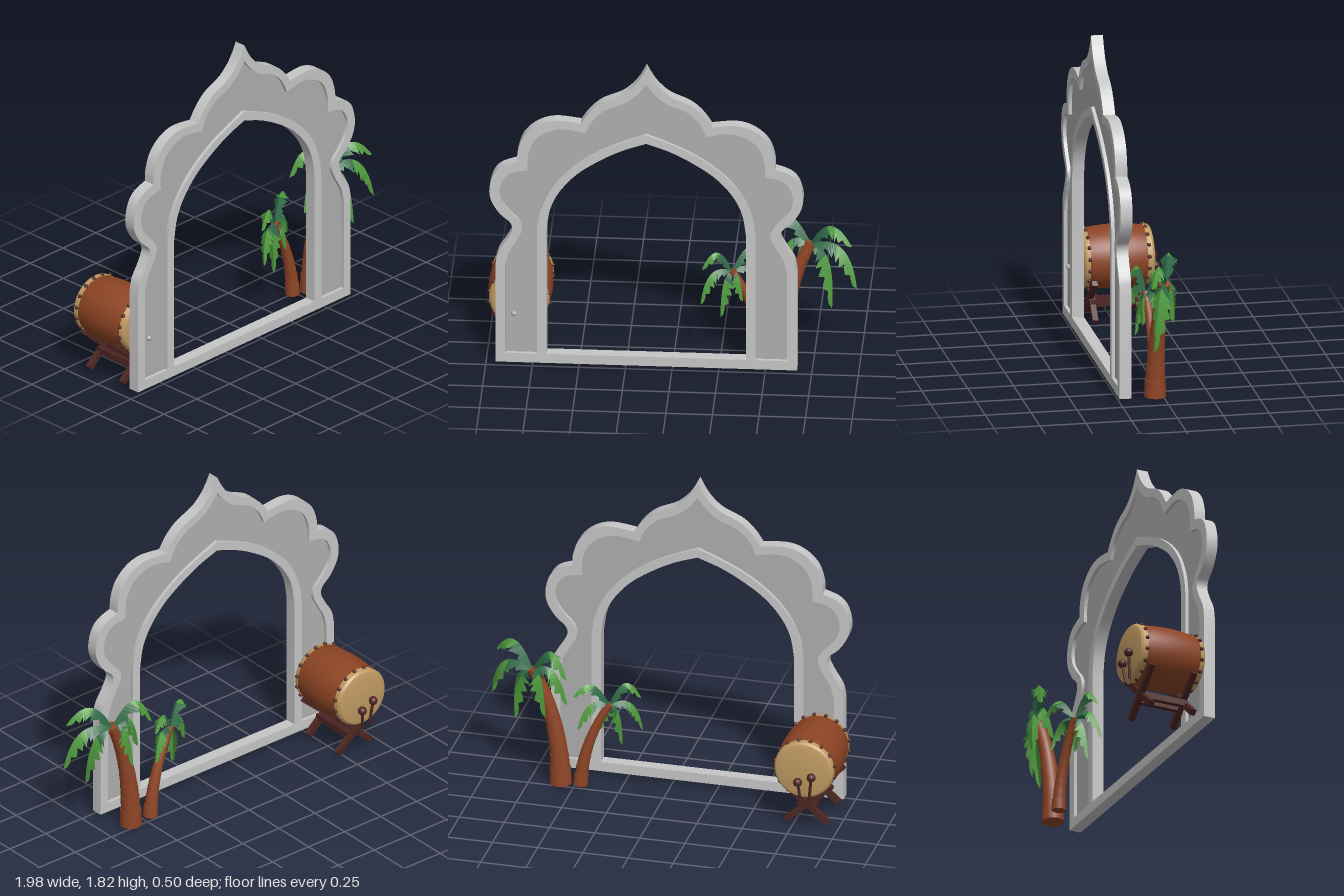
import * as THREE from 'three';
import { toCreasedNormals } from 'three/addons/utils/BufferGeometryUtils.js';

const V = (x, y, z) => new THREE.Vector3(x, y, z);
const mat = (name, color, side = THREE.FrontSide) => {
  const m = new THREE.MeshStandardMaterial({ color, side });
  m.name = name;
  return m;
};

const ARCH_X = -0.138;

export function createModel() {
  const stone = mat('light stone', 0xc6c6c6);
  const panelStone = mat('panel stone', 0xaeaeae);
  const drumWood = mat('drum wood', 0x8c4424);
  const hide = mat('drum hide', 0xc09a62);
  const darkWood = mat('dark wood', 0x4c2622);
  const bark = mat('palm bark', 0x904626);
  const lightLeaf = mat('light leaf', 0x4f9a3e, THREE.DoubleSide);
  const darkLeaf = mat('dark leaf', 0x2f6b47, THREE.DoubleSide);

  const model = new THREE.Group();
  const add = (parent, name, geo, material, p = [0, 0, 0]) => {
    const m = new THREE.Mesh(geo, material);
    m.name = name;
    m.position.set(...p);
    parent.add(m);
    return m;
  };
  const group = (name, x = 0, y = 0, z = 0) => {
    const g = new THREE.Group();
    g.name = name;
    g.position.set(x, y, z);
    model.add(g);
    return g;
  };
  // straight part between two points
  const between = (mesh, a, b) => {
    mesh.position.copy(a).add(b).multiplyScalar(0.5);
    mesh.quaternion.setFromUnitVectors(V(0, 1, 0), b.clone().sub(a).normalize());
    return mesh;
  };

  // ---- Arch: half contours as smooth runs that meet in cusps, mirrored ----
  const contour = (foot, runs) => {
    const half = [new THREE.Vector2(...foot)];
    for (const run of runs) half.push(...new THREE.SplineCurve(run.map(p => new THREE.Vector2(...p))).getPoints(run.length * 4));
    const clean = half.filter((p, i) => i === 0 || p.distanceTo(half[i - 1]) > 1e-4);
    const left = clean.slice(0, -1).reverse().map(p => new THREE.Vector2(-p.x, p.y));
    return [...clean, ...left];
  };
  const outer = contour([0.81, 0.02], [
    [[0.81, 0.6], [0.795, 0.68], [0.75, 0.755], [0.72, 0.82], [0.733, 0.865], [0.783, 0.91], [0.83, 0.985],
      [0.842, 1.06], [0.82, 1.148], [0.773, 1.2], [0.693, 1.23]],
    [[0.693, 1.23], [0.688, 1.3], [0.655, 1.388], [0.58, 1.457], [0.484, 1.486], [0.35, 1.473]],
    [[0.35, 1.473], [0.307, 1.537], [0.238, 1.6], [0.131, 1.65], [0.067, 1.705], [0.03, 1.757], [0, 1.815]]]);
  const recessOuter = contour([0.757, 0.075], [
    [[0.757, 0.6], [0.738, 0.678], [0.697, 0.753], [0.667, 0.82], [0.682, 0.875], [0.728, 0.925], [0.775, 0.99],
      [0.787, 1.06], [0.765, 1.125], [0.72, 1.163], [0.637, 1.18]],
    [[0.637, 1.18], [0.635, 1.27], [0.6, 1.36], [0.53, 1.415], [0.44, 1.436], [0.325, 1.415]],
    [[0.325, 1.415], [0.285, 1.495], [0.215, 1.56], [0.12, 1.6], [0.05, 1.655], [0, 1.72]]]);
  const recessInner = contour([0.586, 0.075], [
    [[0.586, 0.83], [0.564, 0.955], [0.495, 1.095], [0.388, 1.21], [0.254, 1.303], [0.12, 1.367], [0, 1.415]]]);
  const opening = contour([0.535, 0.075], [
    [[0.535, 0.83], [0.514, 0.955], [0.462, 1.062], [0.372, 1.165], [0.255, 1.248], [0.13, 1.315], [0, 1.362]]]);
  const recess = [...recessOuter, ...recessInner.slice().reverse()];
  const extrude = (shape, depth) => toCreasedNormals(
    new THREE.ExtrudeGeometry(shape, { depth, bevelEnabled: false }), 0.5);

  const arch = group('arch', ARCH_X);
  const frameShape = new THREE.Shape(outer);
  frameShape.holes.push(new THREE.Path(recess), new THREE.Path(opening));
  add(arch, 'archFrame', extrude(frameShape, 0.065), stone, [0, 0, 0.188]);
  add(arch, 'archPanel', extrude(new THREE.Shape(recess), 0.027), panelStone, [0, 0, 0.207]);
  add(arch, 'knob', new THREE.SphereGeometry(0.016, 16, 12), panelStone, [-0.71, 0.305, 0.235]);

  // ---- Drum: barrel lying along z ----
  const drum = group('drum', -0.826, 0.361, 0);
  const lathe = (name, pts, material) => {
    const geo = new THREE.LatheGeometry(pts.map(p => new THREE.Vector2(...p)), 48);
    add(drum, name, toCreasedNormals(geo, 0.6), material).rotation.x = Math.PI / 2;
  };
  const barrel = [];
  for (let i = 0; i <= 12; i++) {
    const t = i / 6 - 1;
    barrel.push([0.173 - 0.015 * t * t, -0.005 + 0.165 * t]);
  }
  lathe('drumBody', barrel, drumWood);
  lathe('backHead', [[0, -0.203], [0.135, -0.205], [0.153, -0.2], [0.163, -0.188], [0.165, -0.162], [0.158, -0.162]], hide);
  lathe('frontHead', [[0.157, 0.15], [0.163, 0.15], [0.16, 0.17], [0.15, 0.181], [0.135, 0.185], [0, 0.183]], hide);
  const studGeo = new THREE.SphereGeometry(0.011, 10, 8);
  for (const z of [-0.17, 0.155]) {
    for (let i = 0; i < 16; i++) {
      const a = (i + 0.5) / 16 * Math.PI * 2;
      add(drum, 'stud', studGeo, darkWood, [0.165 * Math.cos(a), 0.165 * Math.sin(a), z]);
    }
  }

  // ---- Drum stand: two crossed pairs of legs and rails ----
  const stand = group('drumStand', -0.826, 0, 0);
  for (const z of [0.122, -0.127]) {
    for (const s of [-1, 1]) {
      const a = V(-0.115 * s, 0.03, z + s * 0.004), b = V(0.14 * s, 0.255, z + s * 0.004);
      between(add(stand, 'standLeg', new THREE.BoxGeometry(0.032, a.distanceTo(b), 0.03), darkWood), a, b);
    }
  }
  for (const s of [-1, 1]) add(stand, 'standRail', new THREE.BoxGeometry(0.03, 0.035, 0.26), darkWood, [s * 0.035, 0.112, 0]);

  // ---- Mallets at the back of the drum ----
  const mallets = group('mallets');
  for (const [head, tail] of [
    [V(-0.877, 0.338, -0.228), V(-0.862, 0.195, -0.214)],
    [V(-0.802, 0.302, -0.228), V(-0.815, 0.185, -0.214)]]) {
    add(mallets, 'malletHead', new THREE.SphereGeometry(0.024, 16, 12), darkWood, head.toArray());
    between(add(mallets, 'malletHandle', new THREE.CylinderGeometry(0.008, 0.008, head.distanceTo(tail), 10), darkWood), head, tail);
  }

  // ---- Palm fronds: folded blades with saw-tooth edges ----
  const frond = (root, ctrl, tip, width) => {
    const curve = new THREE.QuadraticBezierCurve3(root, ctrl, tip);
    const side = tip.clone().sub(root).setY(0).normalize().cross(V(0, 1, 0));
    const N = 18, rows = [];
    for (let i = 0; i <= N; i++) {
      const t = i / N, c = curve.getPoint(t), dir = curve.getTangent(t);
      const up = side.clone().cross(dir).normalize();
      const tooth = i % 3 === 2 ? 1 : i % 3 === 1 ? 0.8 : 0.55;
      const w = width * Math.pow(Math.sin(Math.PI * Math.pow(t * 0.97 + 0.03, 0.8)), 0.7) * tooth;
      const edge = s => c.clone().addScaledVector(side, s * w * 0.65)
        .addScaledVector(up, -w * 0.85).addScaledVector(dir, w * 0.45);
      rows.push([edge(-1), c, edge(1)]);
    }
    const pos = [], geo = new THREE.BufferGeometry();
    for (let i = 0; i < N; i++) {
      for (const k of [0, 1]) {
        const [a, b, c, d] = [rows[i][k], rows[i][k + 1], rows[i + 1][k + 1], rows[i + 1][k]];
        for (const p of [a, b, c, a, c, d]) pos.push(p.x, p.y, p.z);
      }
    }
    geo.setAttribute('position', new THREE.Float32BufferAttribute(pos, 3));
    geo.computeVertexNormals();
    geo.addGroup(0, 7 * 12, 0);
    geo.addGroup(7 * 12, (N - 7) * 12, 1);
    return geo;
  };

  const palm = (name, path, r0, r1, width, fronds) => {
    const g = group(name);
    const curve = new THREE.QuadraticBezierCurve3(...path);
    const N = 9;
    for (let i = 0; i < N; i++) {
      const a = curve.getPoint(i / N), b = curve.getPoint((i + 1) / N);
      const r = r0 + (r1 - r0) * Math.pow(i / N, 0.7);
      const geo = new THREE.CylinderGeometry(r * 0.96, r, a.distanceTo(b) * 1.12, 20);
      between(add(g, 'trunkSegment', geo, bark), a, b);
    }
    for (const [ctrl, tip] of fronds) add(g, 'frond', frond(path[2], V(...ctrl), V(...tip), width), [darkLeaf, lightLeaf]);
  };

  palm('largePalm', [V(0.58, 0.005, 0.042), V(0.585, 0.4, 0.04), V(0.73, 0.67, 0.02)], 0.059, 0.03, 0.078, [
    [[0.84, 0.92, 0.07], [0.96, 0.71, 0.13]],
    [[0.95, 0.78, 0.08], [0.985, 0.45, 0.12]],
    [[0.87, 0.68, 0.06], [0.85, 0.32, 0.1]],
    [[0.6, 0.95, -0.03], [0.52, 0.66, -0.06]],
    [[0.59, 0.78, 0.0], [0.54, 0.47, 0.03]],
    [[0.66, 0.74, -0.05], [0.64, 0.42, -0.05]]]);
  palm('smallPalm', [V(0.465, 0.02, 0.02), V(0.45, 0.27, 0.02), V(0.31, 0.5, 0.04)], 0.04, 0.02, 0.06, [
    [[0.23, 0.73, 0.07], [0.15, 0.53, 0.1]],
    [[0.17, 0.58, 0.09], [0.145, 0.33, 0.12]],
    [[0.25, 0.5, 0.08], [0.25, 0.24, 0.09]],
    [[0.4, 0.73, -0.01], [0.49, 0.56, -0.05]],
    [[0.43, 0.58, 0.0], [0.47, 0.36, -0.03]],
    [[0.36, 0.52, 0.07], [0.37, 0.33, 0.07]]]);

  return model;
}
